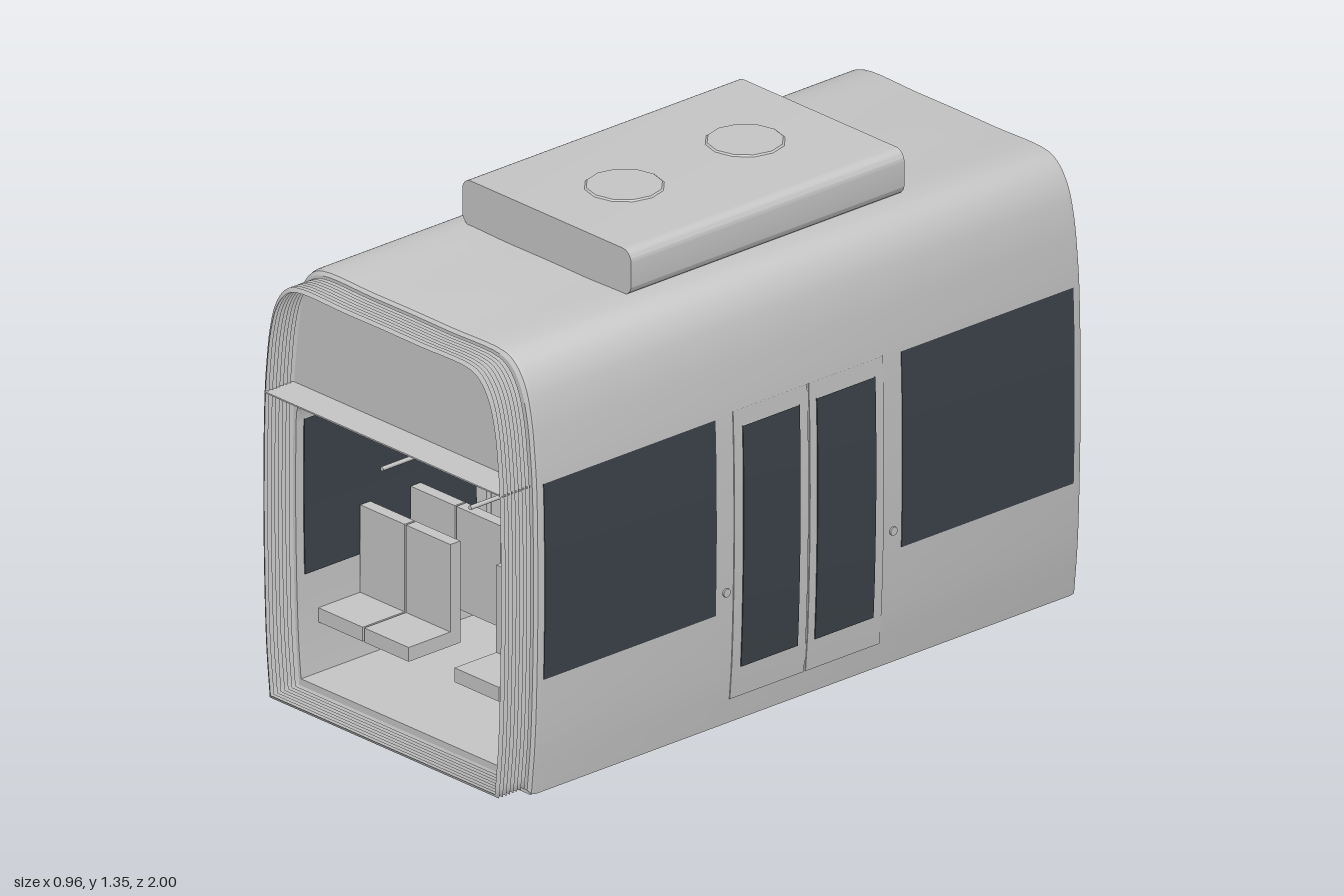
import * as THREE from 'three';
import { toCreasedNormals } from 'three/addons/utils/BufferGeometryUtils.js';

export function createModel() {
  const model = new THREE.Group();
  model.name = 'railCarSection';
  const grey = new THREE.MeshStandardMaterial({ color: 0xc6c6c6, side: THREE.DoubleSide });
  grey.name = 'light grey body';
  const dark = new THREE.MeshStandardMaterial({ color: 0x3c434a, side: THREE.DoubleSide });
  dark.name = 'dark glass';

  const add = (name, geo, mat, x = 0, y = 0, z = 0, parent = model) => {
    const m = new THREE.Mesh(geo, mat);
    m.name = name;
    m.position.set(x, y, z);
    parent.add(m);
    return m;
  };
  const box = (name, x0, x1, y0, y1, z0, z1, mat = grey, parent = model) =>
    add(name, new THREE.BoxGeometry(x1 - x0, y1 - y0, z1 - z0), mat,
      (x0 + x1) / 2, (y0 + y1) / 2, (z0 + z1) / 2, parent);

  // Cross-section of the car, from the lower +x corner over the roof to -x
  const half = new THREE.CatmullRomCurve3([
    [0.45, 0], [0.464, 0.15], [0.473, 0.4], [0.475, 0.6], [0.471, 0.85], [0.464, 0.95],
    [0.45, 1.06], [0.427, 1.14], [0.392, 1.19], [0.35, 1.212], [0.15, 1.214], [0, 1.215],
  ].map(([x, y]) => new THREE.Vector3(x, y, 0)), false, 'centripetal').getPoints(55);
  const mirrored = pts => [...pts, ...pts.slice(0, -1).reverse().map(p => new THREE.Vector3(-p.x, p.y, 0))];
  const profile = mirrored(half);
  const section = inset => profile.map(p => new THREE.Vector2(
    p.x * (1 - inset / 0.475), 0.607 + (p.y - 0.607) * (1 - inset / 0.607)));
  const wallX = y => {
    const i = Math.max(1, half.findIndex(p => p.y >= y));
    const a = half[i - 1], b = half[i];
    return a.x + (b.x - a.x) * (y - a.y) / (b.y - a.y);
  };

  // Cross-section of the interior: side walls, coved corners, flat ceiling
  const ceilingY = 0.868, coveY = 0.76;
  const inner = [];
  for (let i = 0; i <= 8; i++) {
    const y = 0.045 + (coveY - 0.045) * i / 8;
    inner.push(new THREE.Vector3(wallX(y) - 0.036, y, 0));
  }
  const coveX = inner[8].x;
  for (let i = 1; i <= 6; i++) {
    const a = i / 6 * Math.PI / 2;
    inner.push(new THREE.Vector3(0.36 + (coveX - 0.36) * Math.cos(a), coveY + (ceilingY - coveY) * Math.sin(a), 0));
  }
  inner.push(new THREE.Vector3(0, ceilingY, 0));
  const interior = mirrored(inner);

  // Surface through rows of points, each row having the same count
  const loft = (rows, crease = 0.6) => {
    const n = rows[0].length, pos = [], idx = [];
    rows.forEach(r => r.forEach(p => pos.push(p.x, p.y, p.z)));
    for (let j = 0; j < rows.length - 1; j++) {
      for (let i = 0; i < n - 1; i++) {
        const a = j * n + i, b = a + 1, c = a + n, d = c + 1;
        idx.push(a, b, c, b, d, c);
      }
    }
    const g = new THREE.BufferGeometry();
    g.setAttribute('position', new THREE.Float32BufferAttribute(pos, 3));
    g.setIndex(idx);
    return toCreasedNormals(g, crease);
  };
  const atZ = (pts, z) => pts.map(p => new THREE.Vector3(p.x, p.y, z));
  const ring = (inset, z) => atZ(section(inset), z);

  // Shell: outer skin with eased ends, inner lining, floor
  add('outerShell', loft([
    ring(0.012, -1), ring(0.003, -0.993), ring(0, -0.98),
    ring(0, 0.88), ring(0.003, 0.893), ring(0.012, 0.9),
  ]), grey);
  add('innerLining', loft([atZ(interior, 0.89), atZ(interior, -0.99)]), grey);
  box('floor', -0.445, 0.445, 0, 0.045, -0.995, 0.895);

  // End walls with a wide round-cornered passage
  const bulkhead = () => {
    const shape = new THREE.Shape(section(0.012));
    shape.holes.push(new THREE.Path(interior.map(p => new THREE.Vector2(p.x, p.y))));
    return new THREE.ExtrudeGeometry(shape, { depth: 0.02, bevelEnabled: false });
  };
  add('rearBulkhead', bulkhead(), grey, 0, 0, -1);
  add('frontBulkhead', bulkhead(), grey, 0, 0, 0.88);
  box('ceilingLip', -0.45, 0.45, 0.865, 0.869, 0.9, 0.998);

  // Folded gangway bellows
  const folds = 8, rows = [];
  for (let i = 0; i <= folds * 2; i++) {
    const r = ring(i % 2 ? 0.016 : 0.026, 0.9 + 0.1 * i / (folds * 2));
    rows.push([...r, r[0].clone()]);
  }
  add('bellows', loft(rows, 1.45), grey);

  // Roof unit with two fan covers
  const w = 0.32, y0 = 1.214, y1 = 1.342, r = 0.032;
  const roof = new THREE.Shape();
  roof.moveTo(-w + r, y0);
  roof.lineTo(w - r, y0);
  roof.absarc(w - r, y0 + r, r, -Math.PI / 2, 0);
  roof.absarc(w - r, y1 - r, r, 0, Math.PI / 2);
  roof.absarc(-w + r, y1 - r, r, Math.PI / 2, Math.PI);
  roof.absarc(-w + r, y0 + r, r, Math.PI, Math.PI * 1.5);
  const unit = new THREE.ExtrudeGeometry(roof, { depth: 0.95, bevelEnabled: false, curveSegments: 6 });
  add('roofUnit', toCreasedNormals(unit, 0.6), grey, 0, 0, -0.52);
  for (const z of [0.16, -0.26]) {
    add('fanCover', new THREE.CylinderGeometry(0.1, 0.11, 0.008, 12), grey, 0, 1.342, z);
  }

  // Thin raised panels that follow the curve of the side wall
  const sidePanel = (name, s, z0, z1, ya, yb, out, mat) => {
    const panel = [];
    for (let i = 0; i <= 8; i++) {
      const y = ya + (yb - ya) * i / 8, face = s * (wallX(y) + out);
      const base = face - s * Math.sign(out) * 0.005;
      const row = [[base, z0], [face, z0], [face, z1], [base, z1]].map(([x, z]) => new THREE.Vector3(x, y, z));
      panel.push(s * out > 0 ? row.reverse() : row);
    }
    add(name, loft(panel), mat);
  };
  for (const s of [1, -1]) {
    // outside at full height, inside up to the cove
    for (const [out, paneOut, top] of [[0.002, 0.006, 1], [-0.039, -0.039, coveY]]) {
      sidePanel('sideWindow', s, 0.276, 0.873, 0.325, Math.min(0.873, top), out, dark);
      sidePanel('sideWindow', s, -0.968, -0.37, 0.325, Math.min(0.873, top), out, dark);
      sidePanel('doorPane', s, -0.012, 0.185, 0.155, Math.min(0.832, top), paneOut, dark);
      sidePanel('doorPane', s, -0.275, -0.072, 0.155, Math.min(0.832, top), paneOut, dark);
    }
    sidePanel('doorLeaf', s, -0.042, 0.215, 0.07, 0.88, 0.003, grey);
    sidePanel('doorLeaf', s, -0.305, -0.048, 0.07, 0.88, 0.003, grey);
    for (const z of [0.24, -0.34]) {
      const button = add('doorButton', new THREE.CylinderGeometry(0.012, 0.012, 0.006, 12), grey,
        s * (wallX(0.38) + 0.002), 0.38, z);
      button.rotation.z = Math.PI / 2;
    }
  }

  // Seats: back-to-back pairs beside each window
  for (const zc of [0.58, -0.665]) {
    for (const f of [1, -1]) {
      for (const x of [-0.345, -0.171, 0.171, 0.345]) {
        const seat = new THREE.Group();
        seat.name = 'seat';
        seat.position.set(x, 0, zc);
        if (f < 0) seat.rotation.y = Math.PI;
        box('seatCushion', -0.084, 0.084, 0.18, 0.22, 0.08, 0.25, grey, seat);
        box('seatBack', -0.084, 0.084, 0.18, 0.465, 0.07, 0.105, grey, seat);
        model.add(seat);
      }
    }
  }

  // Grab poles and overhead rails
  const pole = (x, z, top) => add('grabPole',
    new THREE.CylinderGeometry(0.006, 0.006, top - 0.04, 10), grey, x, (top + 0.04) / 2, z);
  pole(0, -0.045, ceilingY);
  for (const s of [1, -1]) {
    for (const z of [0.25, -0.34]) {
      pole(s * 0.335, z, 0.85);
      pole(s * 0.415, z, 0.86);
      box('poleBrace', s * 0.375 - 0.04, s * 0.375 + 0.04, 0.44, 0.45, z - 0.005, z + 0.005);
    }
    const rail = add('handRail', new THREE.CylinderGeometry(0.006, 0.006, 1.8, 10), grey, s * 0.167, 0.7, -0.05);
    rail.rotation.x = Math.PI / 2;
  }

  // Information display on the centre pole
  box('displayCase', -0.122, 0.122, 0.752, 0.837, -0.065, -0.025);
  box('displayScreenFront', -0.114, 0.114, 0.76, 0.83, -0.025, -0.021, dark);
  box('displayScreenRear', -0.114, 0.114, 0.76, 0.83, -0.069, -0.065, dark);

  return model;
}
